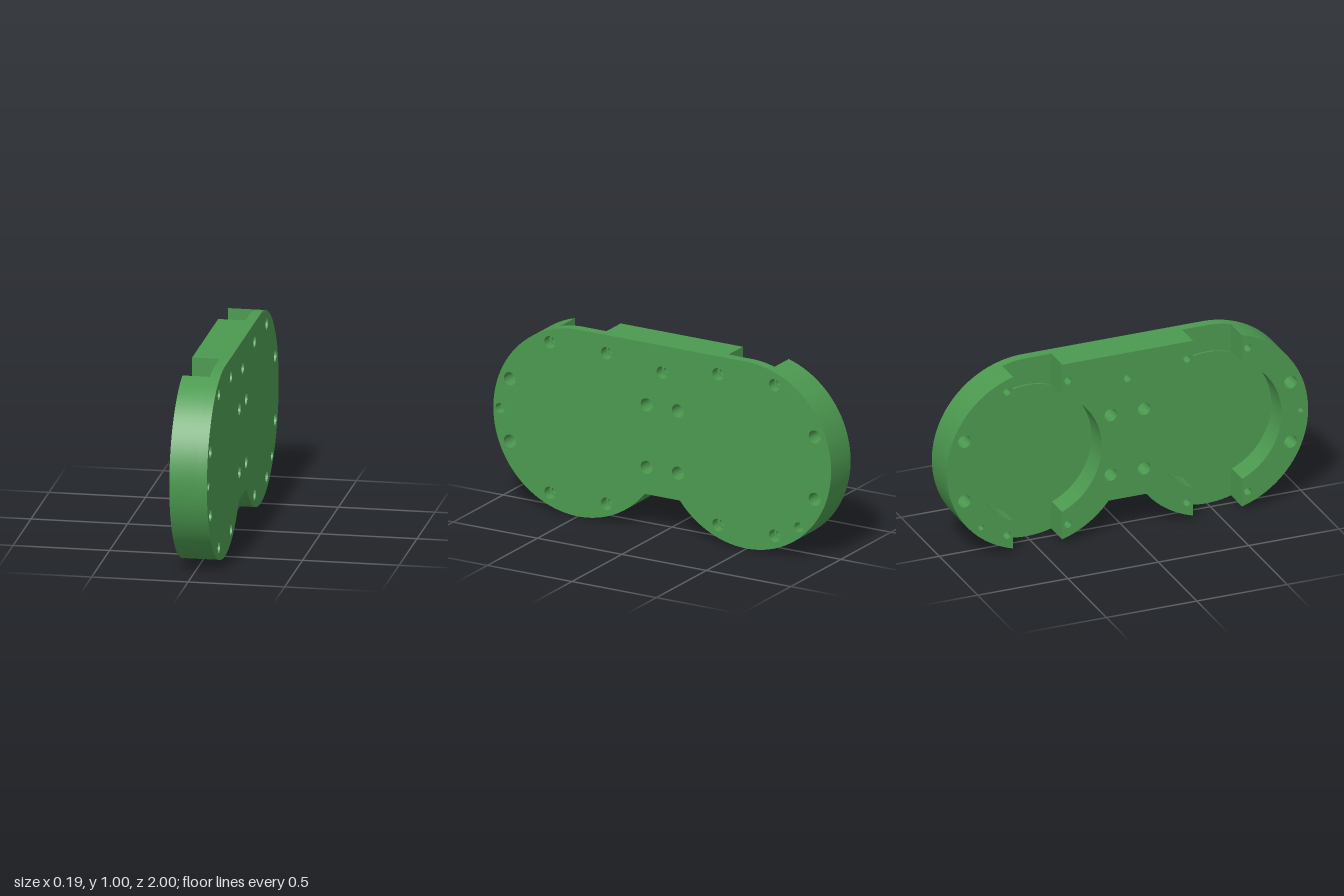
import * as THREE from 'three';
import { toCreasedNormals } from 'three/addons/utils/BufferGeometryUtils.js';

const R = 0.5025, C = 1 - R, YC = R;       // outer lobes: radius, centre offset, centre height
const r = 0.355, W = 0.136;                // round pockets and half width of the slots
const X0 = -0.0975, XS = 0.045, X1 = 0.0975, XP = 0.035; // back, slot floor, face, pocket floor
const NOTCH = 0.672;                       // angle where the lobes meet the lower notch
const PI = Math.PI;

const material = new THREE.MeshStandardMaterial({ color: 0x4c9a50 });

// Holes: [s, y, radius in the cover, radius in the body]; s runs along -z
const holes = [[0, 0.86, 0.033, 0.02], [-0.96, 0.503, 0.027, 0.015], [0.81, 0.168, 0.027, 0.015]];
for (const lobe of [-1, 1]) for (const a of [-1, 1]) for (const b of [-1, 1]) {
  holes.push([lobe * C + a * 0.168, YC + b * 0.405, 0.033, 0.02]);
  holes.push([lobe * C + a * 0.405, YC + b * 0.168, 0.035, 0.035]);
}

function drill(shape, column, keep) {
  for (const h of holes) {
    if (!keep(h[0])) continue;
    shape.holes.push(new THREE.Path().absarc(h[0], h[1], h[column], 0, 2 * PI, true));
  }
}

// Extrude a side profile from x = from to x = to
function slab(name, shape, from, to) {
  let geo = new THREE.ExtrudeGeometry(shape, { depth: to - from, bevelEnabled: false, curveSegments: 48 });
  geo = toCreasedNormals(geo, 0.6);
  geo.rotateY(PI / 2).translate(from, 0, 0);
  const mesh = new THREE.Mesh(geo, material);
  mesh.name = name;
  return mesh;
}

// Full two-lobed outline
function coverShape() {
  const s = new THREE.Shape();
  s.absarc(C, YC, R, PI + NOTCH, 2.5 * PI, false);
  s.absarc(-C, YC, R, PI / 2, 2 * PI - NOTCH, false);
  s.closePath();
  drill(s, 2, () => true);
  return s;
}

const outerA = Math.acos(W / R), innerA = Math.acos(W / r);

// Crescent outside a pocket, at either end
function endShape(side) {
  const turn = side > 0 ? 0 : PI;
  const s = new THREE.Shape();
  s.absarc(side * C, YC, R, turn - outerA, turn + outerA, false);
  s.absarc(side * C, YC, r, turn + innerA, turn - innerA, true);
  s.closePath();
  drill(s, 3, (p) => p * side > C);
  return s;
}

// Block between the two pockets
function middleShape() {
  const s = new THREE.Shape();
  s.absarc(C, YC, R, PI + NOTCH, PI + outerA, false);
  s.absarc(C, YC, r, PI + innerA, PI - innerA, true);
  s.lineTo(C - W, YC + R);
  s.lineTo(W - C, YC + R);
  s.absarc(-C, YC, r, innerA, -innerA, true);
  s.absarc(-C, YC, R, -outerA, -NOTCH, false);
  s.closePath();
  drill(s, 3, (p) => Math.abs(p) < C);
  return s;
}

export function createModel() {
  const group = new THREE.Group();
  group.name = 'gearHousing';
  group.add(slab('coverPlate', coverShape(), XS, X1));
  group.add(slab('middleBlock', middleShape(), X0, XS));
  for (const side of [-1, 1]) {
    group.add(slab(side > 0 ? 'backEndWall' : 'frontEndWall', endShape(side), X0, XS));
    // Raised round pocket floor
    const disc = new THREE.Shape().absarc(side * C, YC, r, 0, 2 * PI, false);
    group.add(slab(side > 0 ? 'backPocketFloor' : 'frontPocketFloor', disc, XP, XS));
  }
  return group;
}
